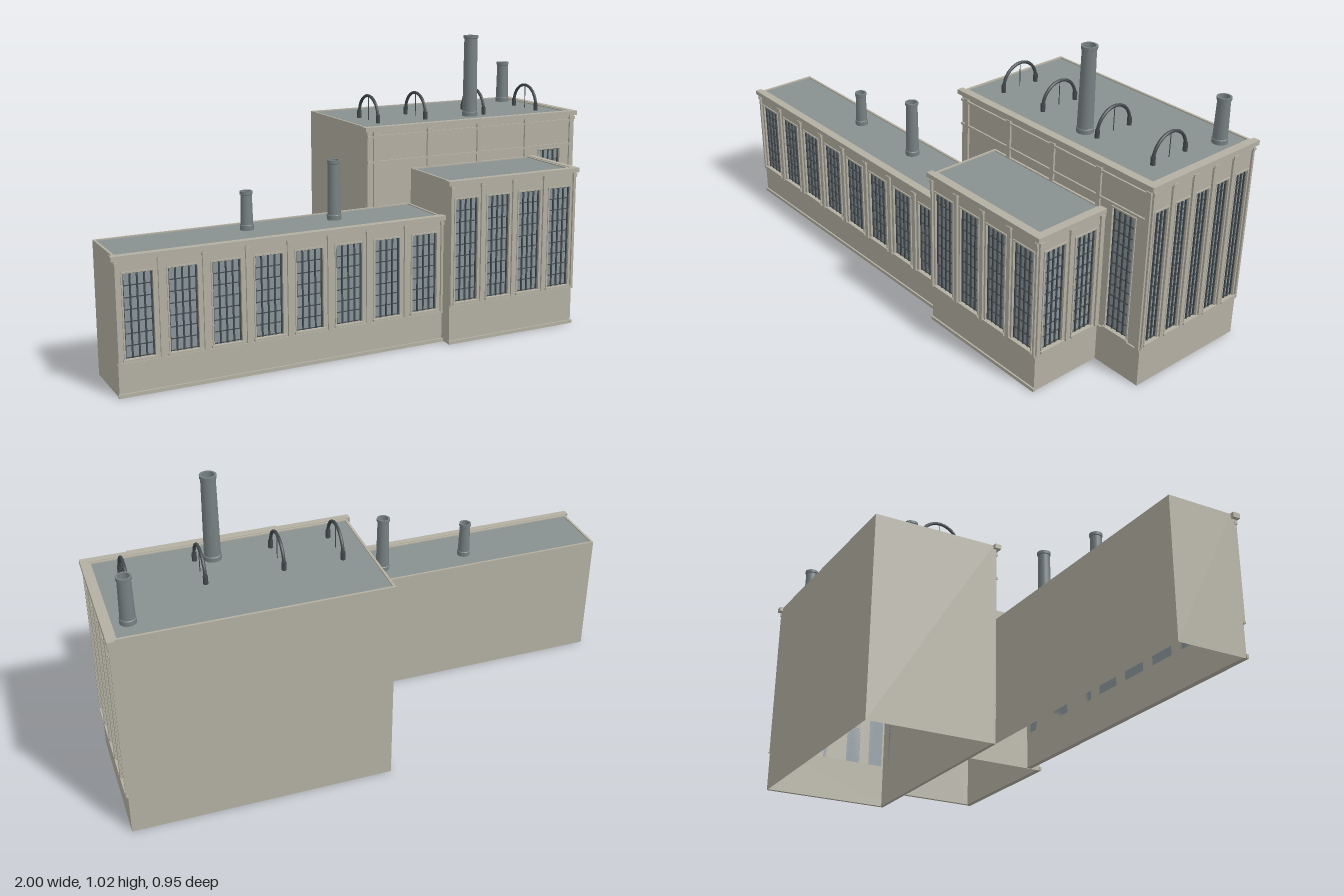
import * as THREE from 'three';
import { mergeGeometries } from 'three/addons/utils/BufferGeometryUtils.js';

const material = (name, color, side = THREE.FrontSide) => {
  const m = new THREE.MeshStandardMaterial({ color, side });
  m.name = name;
  return m;
};

export function createModel() {
  const stone = material('stone', 0xb3afa2, THREE.DoubleSide);
  const roofGrey = material('roof grey', 0x879090);
  const glassGrey = material('window glass', 0x87949a);
  const iron = material('dark iron', 0x434a4d);
  const steel = material('chimney steel', 0x768082);

  const model = new THREE.Group();
  const site = new THREE.Group();
  site.name = 'powerStation';
  site.rotation.y = THREE.MathUtils.degToRad(-22);
  model.add(site);

  const add = (parent, name, geometry, mat) => {
    const mesh = new THREE.Mesh(geometry, mat);
    mesh.name = name;
    parent.add(mesh);
    return mesh;
  };
  // Box given by its lower and upper limits on each axis
  const box = (x0, x1, y0, y1, z0, z1) =>
    new THREE.BoxGeometry(x1 - x0, y1 - y0, z1 - z0)
      .translate((x0 + x1) / 2, (y0 + y1) / 2, (z0 + z1) / 2);

  const SKIN = 0.012; // depth of the window reveals

  // Hollow shell, open below, with a flat roof and a low rim
  function shell(name, x0, x1, z0, z1, h) {
    const g = new THREE.Group();
    g.name = name;
    const walls = box(x0, x1, 0, h, z0, z1);
    const index = Array.from(walls.index.array);
    walls.setIndex([...index.slice(0, 12), ...index.slice(24)]);
    walls.clearGroups();
    add(g, 'walls', walls, stone);
    add(g, 'roof', box(x0 + 0.002, x1 - 0.002, h - 0.012, h - 0.004, z0 + 0.002, z1 - 0.002), roofGrey);
    const r = 0.008;
    add(g, 'roofRim', mergeGeometries([
      box(x0, x1, h - 0.01, h, z0, z0 + r), box(x0, x1, h - 0.01, h, z1 - r, z1),
      box(x0, x0 + r, h - 0.01, h, z0 + r, z1 - r), box(x1 - r, x1, h - 0.01, h, z0 + r, z1 - r),
    ]), stone);
    site.add(g);
    return g;
  }

  // Wall front running along local x from 0 to len, facing +z
  function facade(parent, name, o) {
    const g = new THREE.Group();
    g.name = name;
    g.position.set(o.x, 0, o.z);
    g.rotation.y = o.turn || 0;
    const { len, h, y0, y1, width: w, cols, rows } = o;
    const shape = new THREE.Shape([[0, 0], [len, 0], [len, h], [0, h]].map(p => new THREE.Vector2(...p)));
    const glass = [], bars = [], trim = [];

    for (const c of o.windows) {
      const a = c - w / 2, b = c + w / 2;
      shape.holes.push(new THREE.Path([[a, y0], [a, y1], [b, y1], [b, y0]].map(p => new THREE.Vector2(...p))));
      glass.push(box(a, b, y0, y1, -SKIN, -SKIN + 0.003));
      // Glazing bars and outer frame
      for (let i = 0; i <= cols; i++) {
        const x = a + 0.002 + (w - 0.004) * i / cols;
        bars.push(box(x - 0.0024, x + 0.0024, y0, y1, -SKIN + 0.001, -0.004));
      }
      for (let i = 0; i <= rows; i++) {
        const y = y0 + 0.002 + (y1 - y0 - 0.004) * i / rows;
        bars.push(box(a, b, y - 0.0014, y + 0.0014, -SKIN + 0.001, -0.006));
      }
      // Sill and raised surround
      trim.push(box(a - 0.008, b + 0.008, y0 - 0.008, y0, -0.002, 0.009));
      trim.push(box(a - 0.005, b + 0.005, y1, y1 + 0.005, -0.002, 0.004));
      for (const x of [a - 0.005, b]) trim.push(box(x, x + 0.005, y0, y1, -0.002, 0.004));
    }
    // Pilasters with capitals
    for (const p of o.pilasters) {
      const a = Math.max(0, p - 0.008), b = Math.min(len, p + 0.008);
      trim.push(box(a, b, y0 - 0.01, h - 0.014, -0.002, 0.007));
      trim.push(box(a - 0.002, b + 0.002, h - 0.03, h - 0.02, -0.002, 0.01));
    }
    // Cornice, base course and extra string courses
    trim.push(box(-0.012, len + 0.012, h - 0.014, h + 0.002, -SKIN, 0.012));
    trim.push(box(-0.003, len + 0.003, y0 - 0.016, y0 - 0.01, -0.002, 0.006));
    if (o.plinth) trim.push(box(-0.003, len + 0.003, 0, 0.012, -0.002, 0.006));
    for (const y of o.bands || []) trim.push(box(0, len, y, y + 0.008, -0.002, 0.006));

    add(g, 'wallFront', new THREE.ExtrudeGeometry(shape, { depth: SKIN, bevelEnabled: false }).translate(0, 0, -SKIN), stone);
    add(g, 'windowPanes', mergeGeometries(glass), glassGrey);
    add(g, 'glazingBars', mergeGeometries(bars), iron);
    add(g, 'stoneTrim', mergeGeometries(trim), stone);
    parent.add(g);
  }
  const centres = (n, len) => Array.from({ length: n }, (_, i) => (i + 0.5) * len / n);
  const edges = (n, len) => Array.from({ length: n + 1 }, (_, i) => i * len / n);

  // Tall hall
  const hall = shell('tallHall', -0.015, 0.857 - SKIN, -0.507, -0.044 - SKIN, 0.727);
  facade(hall, 'hallFront', {
    x: -0.015, z: -0.044, len: 0.872, h: 0.727, y0: 0.15, y1: 0.59, width: 0.092, cols: 4, rows: 11,
    windows: [0.768], pilasters: [0.03, 0.245, 0.453, 0.66, 0.864], bands: [0.6, 0.69],
  });
  facade(hall, 'hallEnd', {
    x: 0.857, z: -0.044, turn: Math.PI / 2, len: 0.463, h: 0.727, y0: 0.157, y1: 0.63, width: 0.055, cols: 3, rows: 12,
    windows: centres(5, 0.463), pilasters: edges(5, 0.463), bands: [0.7],
  });

  // Long low wing
  const wing = shell('longWing', -0.985, 0.15, -0.045, 0.187 - SKIN, 0.446);
  facade(wing, 'wingFront', {
    x: -0.985, z: 0.187, len: 1.137, h: 0.446, y0: 0.12, y1: 0.39, width: 0.094, cols: 4, rows: 7,
    windows: centres(8, 1.137), pilasters: edges(8, 1.137), plinth: true,
  });

  // Front annex
  const annex = shell('frontAnnex', 0.158, 0.67 - SKIN, -0.044, 0.228 - SKIN, 0.571);
  facade(annex, 'annexFront', {
    x: 0.158, z: 0.228, len: 0.512, h: 0.571, y0: 0.147, y1: 0.507, width: 0.088, cols: 4, rows: 9,
    windows: centres(4, 0.512), pilasters: edges(4, 0.512), plinth: true,
  });
  facade(annex, 'annexSide', {
    x: 0.67, z: 0.228, turn: Math.PI / 2, len: 0.272, h: 0.571, y0: 0.147, y1: 0.507, width: 0.084, cols: 4, rows: 9,
    windows: [0.068, 0.198], pilasters: [0.006, 0.134, 0.264],
  });

  // Chimneys with a flared rim and a hollow top
  for (const [x, z, base, top, r] of [
    [0.467, -0.151, 0.72, 1.018, 0.027], [0.789, -0.422, 0.72, 0.88, 0.024],
    [-0.501, 0.041, 0.44, 0.57, 0.021], [-0.187, 0.043, 0.44, 0.645, 0.023],
  ]) {
    const profile = [
      [r * 1.08, base], [r * 1.08, base + 0.018], [r, base + 0.02], [r * 0.88, top - 0.012],
      [r, top - 0.01], [r, top], [r * 0.75, top], [r * 0.75, top - 0.03], [0, top - 0.03],
    ].map(p => new THREE.Vector2(...p));
    const stack = profile.slice(0, -1).map((p, i) => new THREE.LatheGeometry([p, profile[i + 1]], 20));
    const chimney = add(site, 'chimney', mergeGeometries(stack), steel);
    chimney.position.set(x, 0, z);
  }

  // Arched roof pipes with feet and a thin centre post
  for (const x of [0.081, 0.275, 0.525, 0.76]) {
    const g = new THREE.Group();
    g.name = 'roofPipe';
    g.position.set(x, 0.725, -0.22);
    const R = 0.073;
    const parts = [
      new THREE.TorusGeometry(R, 0.0055, 8, 28, Math.PI).rotateY(Math.PI / 2).translate(0, 0.014, 0),
      new THREE.CylinderGeometry(0.0015, 0.0015, 0.087, 6).translate(0, 0.0435, 0),
    ];
    for (const s of [-1, 1]) parts.push(new THREE.CylinderGeometry(0.008, 0.008, 0.028, 10).translate(0, 0.012, s * R));
    add(g, 'pipe', mergeGeometries(parts), iron);
    site.add(g);
  }
  return model;
}
